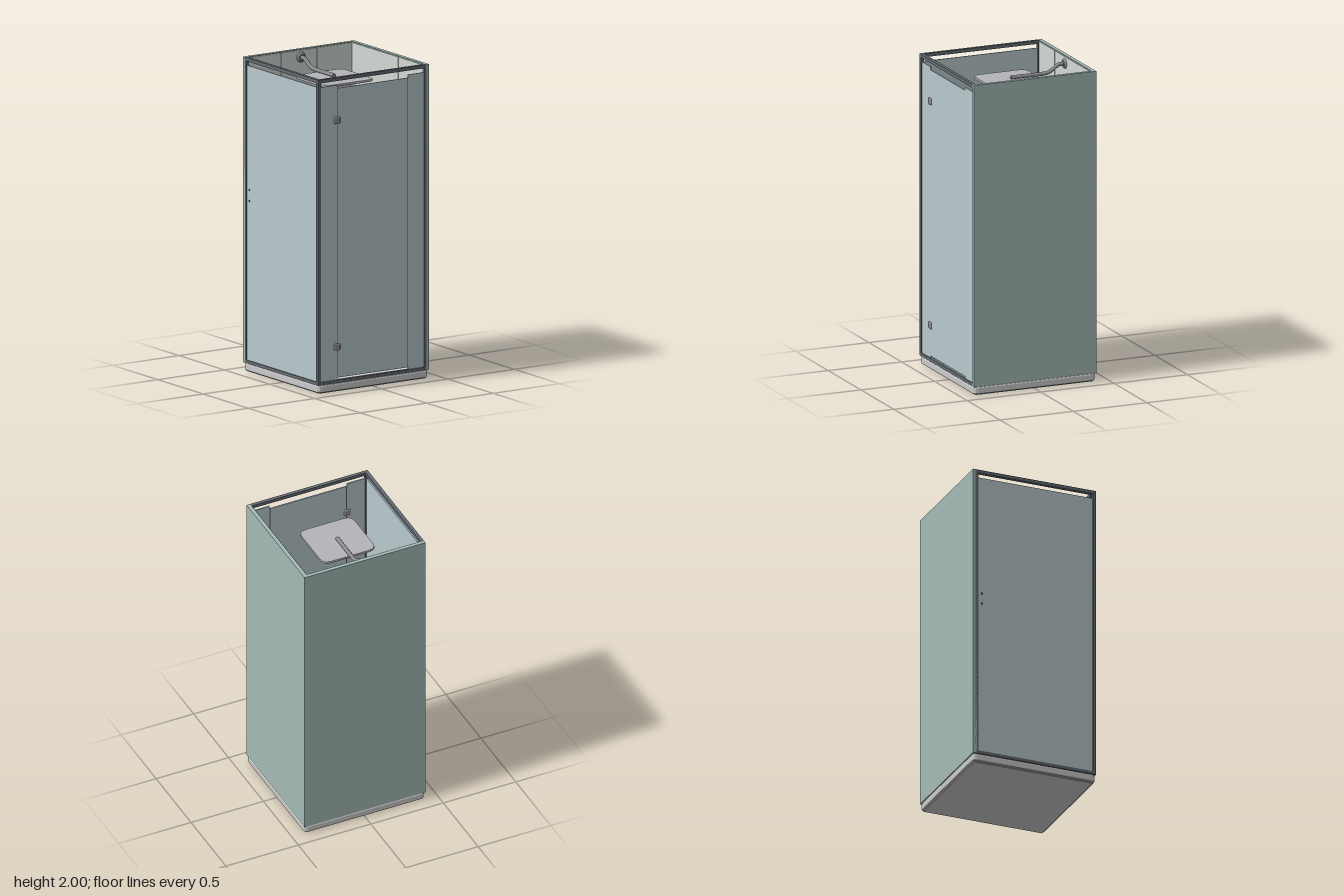
import * as THREE from 'three';
import { RoundedBoxGeometry } from 'three/addons/geometries/RoundedBoxGeometry.js';

const paint = (color) => new THREE.MeshStandardMaterial({ color });
const mats = {
  wall: paint(0xa5bbb6), tile: paint(0xd3d9d6), glass: paint(0xb9cacf), frame: paint(0x646c72),
  tray: paint(0xdcdedb), metal: paint(0x8a8c8f), head: paint(0xb4b4b9), mat: paint(0x5f9690),
  dark: paint(0x55585a), blue: paint(0x2c5cb4), green: paint(0x5f9690), red: paint(0x9c3226),
  white: paint(0xc9d2cf), cap: paint(0xa5a5a5),
};

export function createModel() {
  const root = new THREE.Group();

  function add(name, geometry, mat, x = 0, y = 0, z = 0, parent = root) {
    const mesh = new THREE.Mesh(geometry, mat);
    mesh.name = name;
    mesh.position.set(x, y, z);
    parent.add(mesh);
    return mesh;
  }

  // Box given by its limits on each axis
  function box(name, mat, [x0, x1], [y0, y1], [z0, z1], parent = root) {
    return add(name, new THREE.BoxGeometry(x1 - x0, y1 - y0, z1 - z0), mat,
      (x0 + x1) / 2, (y0 + y1) / 2, (z0 + z1) / 2, parent);
  }

  // Horizontal rounded slab, optionally with a square hole
  function slab(w, d, h, r, bevel, hole = 0) {
    const a = w / 2 - bevel, b = d / 2 - bevel, s = new THREE.Shape();
    s.moveTo(-a + r, -b).lineTo(a - r, -b).quadraticCurveTo(a, -b, a, -b + r)
      .lineTo(a, b - r).quadraticCurveTo(a, b, a - r, b)
      .lineTo(-a + r, b).quadraticCurveTo(-a, b, -a, b - r)
      .lineTo(-a, -b + r).quadraticCurveTo(-a, -b, -a + r, -b);
    if (hole) {
      const k = hole / 2 + bevel;
      s.holes.push(new THREE.Path().moveTo(-k, -k).lineTo(-k, k).lineTo(k, k).lineTo(k, -k).closePath());
    }
    const g = new THREE.ExtrudeGeometry(s, {
      depth: h - 2 * bevel, bevelEnabled: bevel > 0, bevelSize: bevel, bevelThickness: bevel,
      bevelSegments: 2, curveSegments: 3,
    });
    return g.rotateX(-Math.PI / 2).translate(0, bevel, 0);
  }

  // Tray: rounded rim, base plate and a floor sloping to the middle
  add('trayRim', slab(0.83, 0.83, 0.05, 0.02, 0.01, 0.78), mats.tray, 0, 0.005, 0);
  box('trayBase', mats.tray, [-0.4, 0.4], [0, 0.02], [-0.4, 0.4]);
  const slope = new THREE.CylinderGeometry(0.395 * Math.SQRT2, 0.265 * Math.SQRT2, 0.025, 4, 1, true)
    .rotateY(Math.PI / 4).toNonIndexed();
  slope.computeVertexNormals();
  const slopeMat = mats.tray.clone();
  slopeMat.side = THREE.DoubleSide;
  add('trayFloorSlope', slope, slopeMat, 0, 0.0425, 0);
  box('trayFloor', mats.tray, [-0.27, 0.27], [0.02, 0.031], [-0.27, 0.27]);

  // Bath mat with ribs
  add('bathMat', slab(0.557, 0.557, 0.012, 0.045, 0.003), mats.mat, 0, 0.038, 0.016);
  for (let i = -2; i <= 2; i++) {
    const z = i * 0.1025;
    box('matRib', mats.cap, [-0.253, 0.252], [0.046, 0.054], [z - 0.009, z + 0.009]);
  }

  // Solid back and left walls, lined with tiles
  box('backWall', mats.wall, [-0.417, 0.417], [0.055, 2], [-0.417, -0.392]);
  box('sideWall', mats.wall, [0.392, 0.417], [0.055, 2], [-0.392, 0.415]);
  const tiles = new THREE.Group();
  tiles.name = 'tiles';
  root.add(tiles);
  const columns = [-0.392, -0.15, 0.12, 0.387], gap = 0.002;
  for (let c = 0; c < 3; c++) {
    for (let r = 0; r < 7; r++) {
      const y = [0.056 + r * 0.279, Math.min(0.056 + (r + 1) * 0.279, 1.996) - gap];
      const span = [columns[c] + gap, columns[c + 1] - gap];
      box('backTile', mats.tile, span, y, [-0.393, -0.387], tiles);
      box('sideTile', mats.tile, [0.387, 0.393], y, span, tiles);
    }
  }

  // Metal frame around the two glazed sides
  const frame = new THREE.Group();
  frame.name = 'frame';
  root.add(frame);
  box('cornerPost', mats.frame, [-0.417, -0.395], [0.055, 2], [0.393, 0.415], frame);
  box('backPost', mats.frame, [-0.417, -0.395], [0.055, 2], [-0.4, -0.38], frame);
  box('frontEndPost', mats.frame, [0.384, 0.393], [0.055, 2], [0.393, 0.413], frame);
  for (const y of [[0.055, 0.075], [1.978, 2]]) {
    box('frontRail', mats.frame, [-0.4, 0.392], y, [0.393, 0.415], frame);
    box('sideRail', mats.frame, [-0.417, -0.395], y, [-0.4, 0.4], frame);
  }

  // Glass: side panel, two fixed front panels and the door
  box('sideGlass', mats.glass, [-0.41, -0.402], [0.07, 1.95], [-0.385, 0.395]);
  box('fixedGlassRight', mats.glass, [-0.397, -0.268], [0.07, 1.95], [0.4, 0.408]);
  box('fixedGlassLeft', mats.glass, [0.264, 0.387], [0.07, 1.95], [0.4, 0.408]);
  box('door', mats.glass, [-0.263, 0.26], [0.088, 1.93], [0.4, 0.408]);
  box('doorSeal', mats.dark, [-0.269, -0.263], [0.088, 1.93], [0.401, 0.407]);
  box('doorSeal', mats.dark, [0.26, 0.264], [0.088, 1.93], [0.401, 0.407]);
  for (const y of [0.283, 1.727]) {
    add('hinge', new RoundedBoxGeometry(0.046, 0.044, 0.024, 2, 0.008), mats.metal, -0.271, y, 0.404);
  }

  // Rain shower: wall flange, bent arm and square head
  add('armFlange', new THREE.CylinderGeometry(0.022, 0.033, 0.012, 24).rotateX(Math.PI / 2),
    mats.metal, 0, 1.95, -0.381);
  const path = new THREE.CatmullRomCurve3([
    [-0.387, 1.95], [-0.345, 1.948], [-0.31, 1.925], [-0.275, 1.905], [-0.23, 1.9], [-0.13, 1.9], [-0.022, 1.9],
  ].map(([z, y]) => new THREE.Vector3(0, y, z)));
  add('showerArm', new THREE.TubeGeometry(path, 40, 0.0125, 14), mats.metal);
  add('armEnd', new THREE.CylinderGeometry(0.0125, 0.0125, 0.004, 14).rotateX(Math.PI / 2),
    mats.metal, 0, 1.9, -0.022);
  add('showerHead', slab(0.37, 0.367, 0.016, 0.05, 0.004), mats.head, 0, 1.874, -0.021);

  // Wall shelf with three bottles
  box('shelf', mats.white, [0.048, 0.323], [1.1, 1.112], [-0.39, -0.297]);
  const profile = [[0, 0], [0.021, 0], [0.023, 0.006], [0.023, 0.1], [0.018, 0.115], [0.009, 0.122], [0, 0.122]]
    .map(([x, y]) => new THREE.Vector2(x, y));
  [mats.green, mats.blue, mats.red].forEach((mat, i) => {
    const bottle = new THREE.Group();
    bottle.name = 'bottle';
    bottle.position.set(0.138 + i * 0.065, 1.112, -0.345);
    root.add(bottle);
    add('bottleBody', new THREE.LatheGeometry(profile, 20).scale(1, 1, 0.65), mat, 0, 0, 0, bottle);
    add('bottleCap', new THREE.CylinderGeometry(0.011, 0.012, 0.022, 16), mats.cap, 0, 0.131, 0, bottle);
  });

  // Blue soap dispenser on its wall plate
  box('dispenserPlate', mats.metal, [-0.155, -0.035], [1.1, 1.22], [-0.388, -0.383]);
  add('dispenser', new RoundedBoxGeometry(0.078, 0.13, 0.034, 3, 0.014), mats.blue, -0.094, 1.16, -0.368);
  add('dispenserButton', new THREE.SphereGeometry(0.006, 12, 8), mats.metal, -0.094, 1.12, -0.352);

  // Wall rack in the corner, with fixing bolts through the side glass
  box('rackBody', mats.white, [-0.395, -0.265], [1.07, 1.18], [-0.38, -0.35]);
  box('rackFront', mats.dark, [-0.395, -0.263], [1.06, 1.165], [-0.35, -0.333]);
  for (const y of [1.09, 1.16]) {
    add('fixingBolt', new THREE.CylinderGeometry(0.007, 0.007, 0.02, 12).rotateZ(Math.PI / 2),
      mats.dark, -0.404, y, -0.355);
  }
  return root;
}
